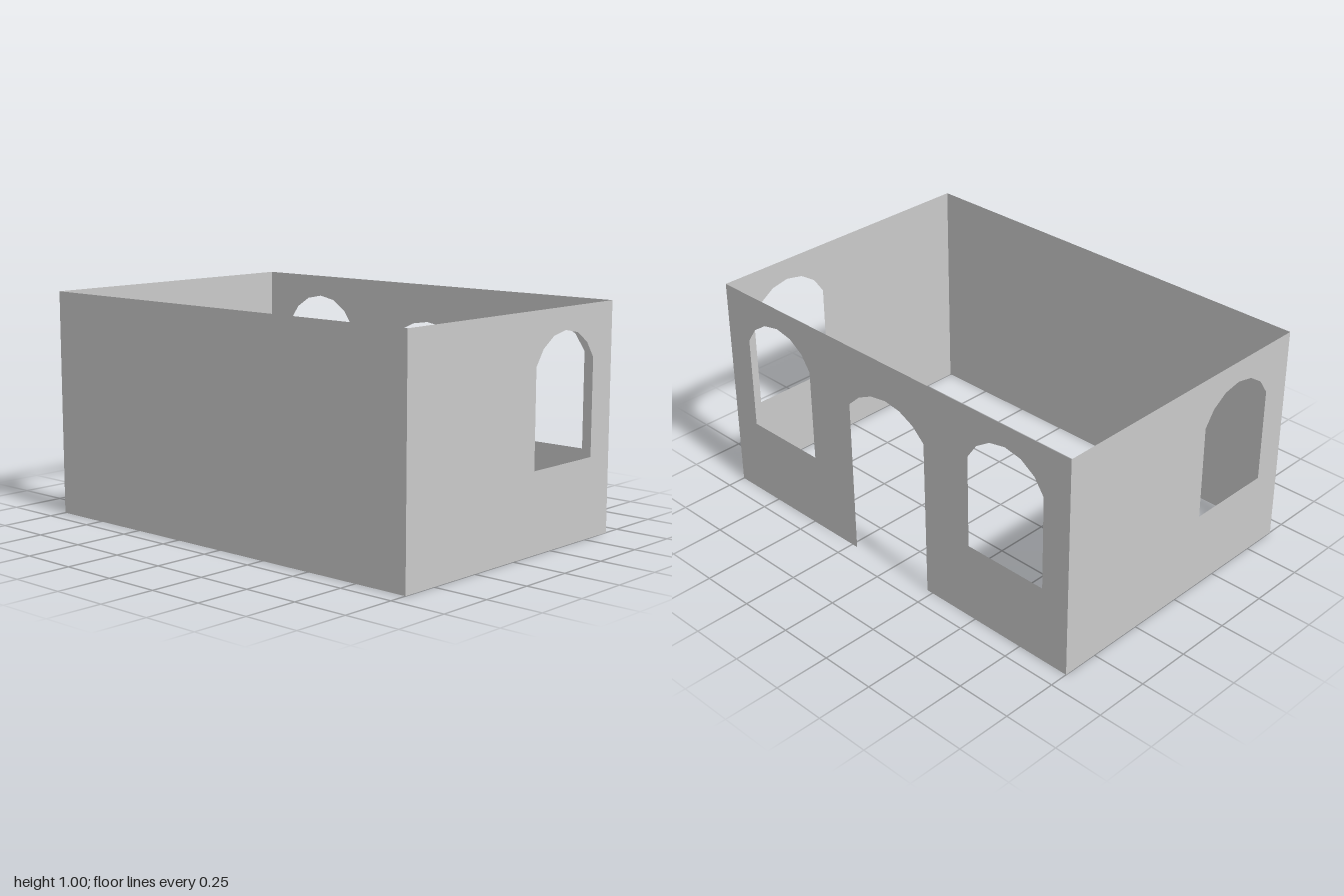
import * as THREE from 'three';

const WIDTH = 1.333, LENGTH = 2, HEIGHT = 1;

// Adds a shallow circular arch from the right springing point to the left one
function addArch(path, cx, half, spring, apex) {
  const rise = apex - spring;
  const r = (half * half + rise * rise) / (2 * rise);
  const a = Math.asin(half / r);
  path.absarc(cx, apex - r, r, Math.PI / 2 - a, Math.PI / 2 + a, false);
}

// Arched window opening
function windowHole(cx) {
  const hole = new THREE.Path();
  hole.moveTo(cx - 0.2, 0.35);
  hole.lineTo(cx + 0.2, 0.35);
  addArch(hole, cx, 0.2, 0.773, 0.904);
  hole.closePath();
  return hole;
}

// Wall outline standing on the ground, optionally cut by an arched doorway
function wallShape(width, windows, door = false) {
  const w = width / 2;
  const shape = new THREE.Shape();
  shape.moveTo(w, 0);
  shape.lineTo(w, HEIGHT);
  shape.lineTo(-w, HEIGHT);
  shape.lineTo(-w, 0);
  if (door) {
    // Doorway traced from its left foot over the arch to its right foot
    const arch = new THREE.Path();
    addArch(arch, 0, 0.22, 0.722, 0.828);
    shape.lineTo(-0.22, 0);
    arch.getPoints(3).reverse().forEach(p => shape.lineTo(p.x, p.y));
    shape.lineTo(0.22, 0);
  }
  shape.closePath();
  shape.holes = windows.map(windowHole);
  return shape;
}

export function createModel() {
  const group = new THREE.Group();
  group.name = 'roofless room';
  const material = new THREE.MeshStandardMaterial({
    color: 0xcccccc, side: THREE.DoubleSide, flatShading: true,
  });

  // Each wall is a thin sheet, turned to face outwards
  function addWall(name, shape, distance, turn) {
    const geometry = new THREE.ShapeGeometry(shape, 3);
    geometry.translate(0, 0, distance);
    const wall = new THREE.Mesh(geometry, material);
    wall.name = name;
    wall.rotation.y = turn;
    group.add(wall);
  }

  const endWall = wallShape(WIDTH, [0.333]);
  addWall('frontWall', endWall, LENGTH / 2, 0);
  addWall('backWall', endWall, LENGTH / 2, Math.PI);
  addWall('doorWall', wallShape(LENGTH, [-0.667, 0.667], true), WIDTH / 2, Math.PI / 2);
  addWall('plainWall', wallShape(LENGTH, []), WIDTH / 2, -Math.PI / 2);
  return group;
}
